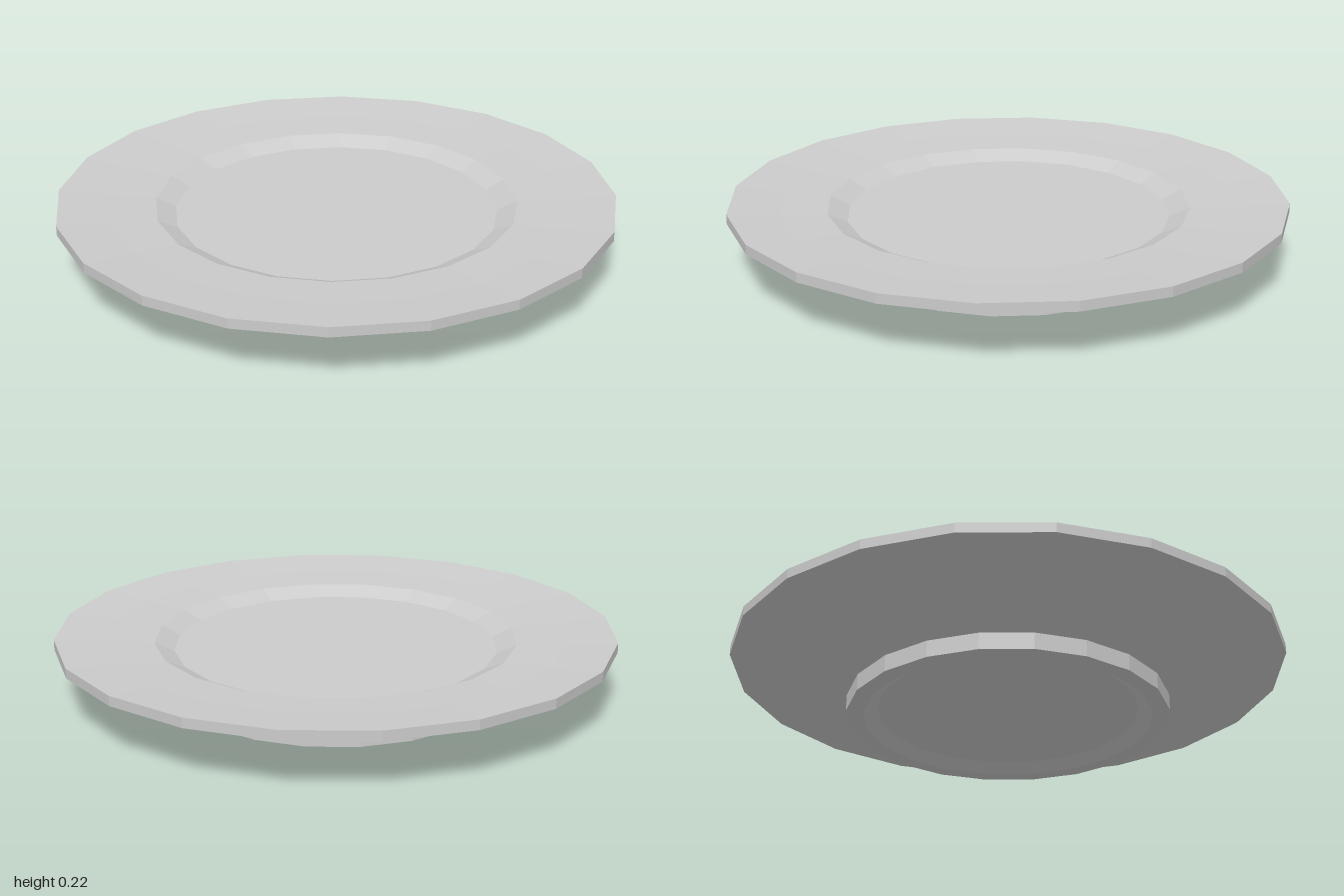
import * as THREE from 'three';

const SIDES = 20;

export function createModel() {
  const group = new THREE.Group();
  group.name = 'dinnerPlate';
  const material = new THREE.MeshStandardMaterial({ color: 0xcccccc, flatShading: true });

  // Closed cross-section [radius, height], from the underside centre round to the top centre
  const profile = [
    [0, 0.03], [0.47, 0.03],               // recessed base
    [0.52, 0], [0.58, 0], [0.58, 0.06],    // foot ring
    [0.81, 0.124], [1, 0.19],              // sloping underside
    [1, 0.225],                            // outer edge
    [0.82, 0.209], [0.65, 0.198],          // broad rim
    [0.58, 0.166], [0, 0.166],             // well and flat floor
  ].map(([r, y]) => new THREE.Vector2(r, y));

  const plate = new THREE.Mesh(new THREE.LatheGeometry(profile, SIDES), material);
  plate.name = 'plate';
  group.add(plate);
  return group;
}
